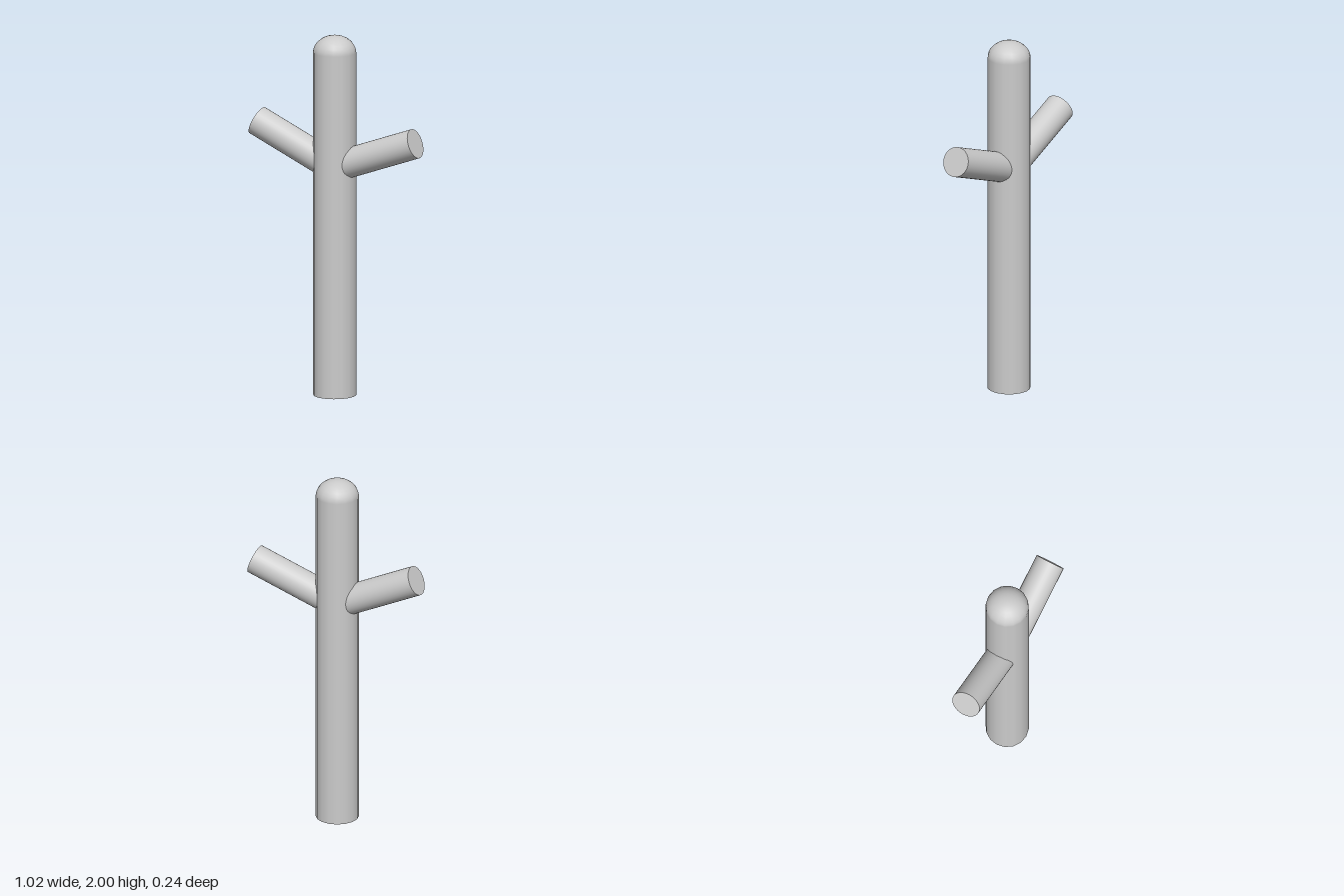
import * as THREE from 'three';

const CENTER_X = -0.007;
const TRUNK_RADIUS = 0.118;

export function createModel() {
  const group = new THREE.Group();
  const material = new THREE.MeshStandardMaterial({ color: 0xcccccc });

  function add(name, geometry) {
    const mesh = new THREE.Mesh(geometry, material);
    mesh.name = name;
    group.add(mesh);
    return mesh;
  }

  // Upright post with a closed base
  const shoulder = 1.905;
  const post = add('trunk', new THREE.CylinderGeometry(TRUNK_RADIUS, TRUNK_RADIUS, shoulder, 16));
  post.position.set(CENTER_X, shoulder / 2, 0);

  // Flattened dome on top of the post
  const dome = add('trunkTop', new THREE.SphereGeometry(TRUNK_RADIUS, 16, 8, 0, Math.PI * 2, 0, Math.PI / 2));
  dome.scale.y = (2 - shoulder) / TRUNK_RADIUS;
  dome.position.set(CENTER_X, shoulder, 0);

  // Straight branches rising from the middle of the post to a flat cut end
  function addBranch(name, tipX, tipY, rootY) {
    const root = new THREE.Vector3(CENTER_X, rootY, 0);
    const tip = new THREE.Vector3(tipX, tipY, 0);
    const direction = tip.clone().sub(root);
    const branch = add(name, new THREE.CylinderGeometry(0.082, 0.082, direction.length(), 32));
    branch.position.copy(root).add(tip).multiplyScalar(0.5);
    branch.quaternion.setFromUnitVectors(new THREE.Vector3(0, 1, 0), direction.normalize());
  }
  addBranch('leftBranch', 0.481, 1.444, 1.267);
  addBranch('rightBranch', -0.475, 1.482, 1.265);

  return group;
}
